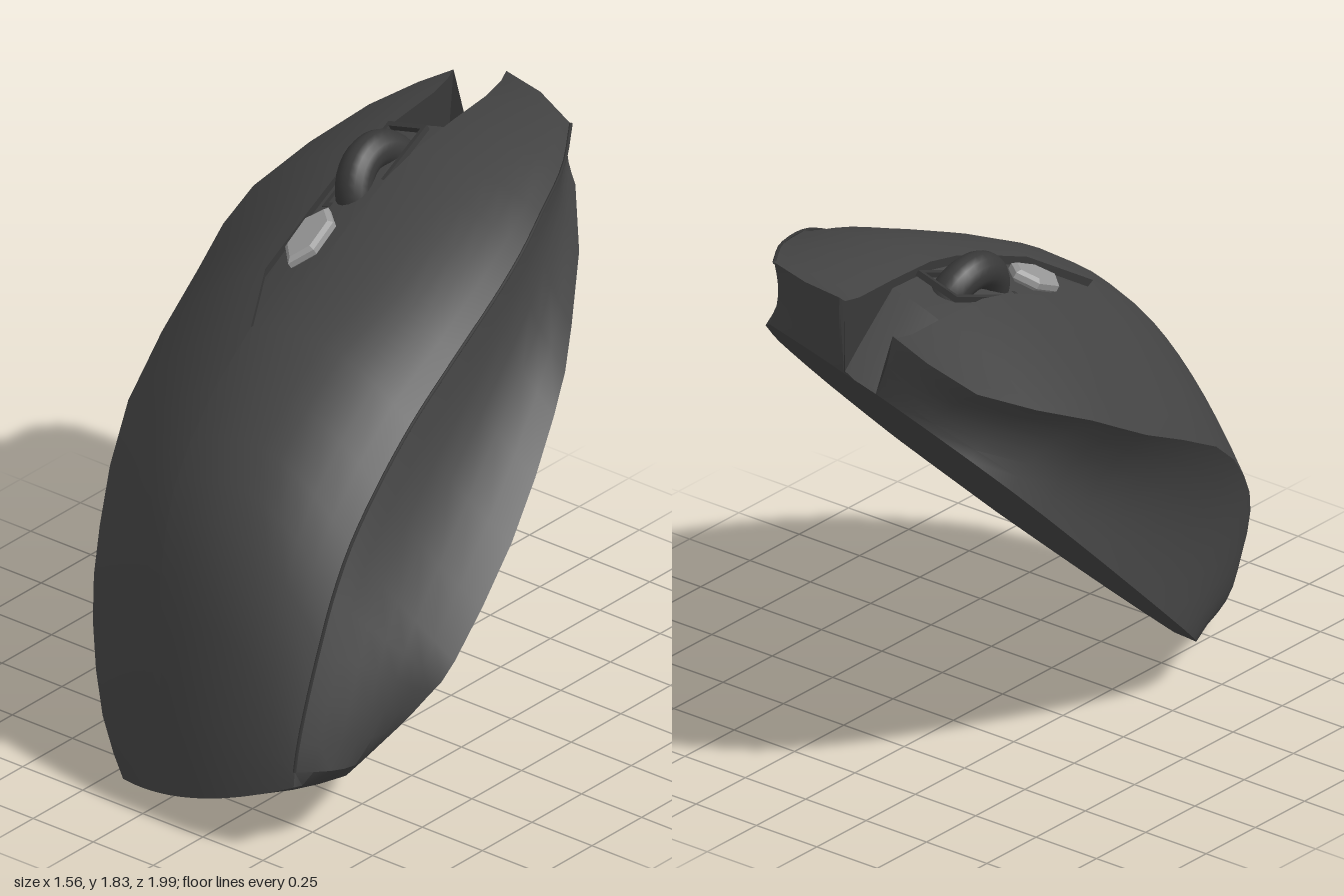
import * as THREE from 'three';
import { toCreasedNormals } from 'three/addons/utils/BufferGeometryUtils.js';

const mat = (color) => new THREE.MeshStandardMaterial({ color, side: THREE.DoubleSide });
const range = (n, f) => Array.from({ length: n + 1 }, (_, i) => f(i / n));

// Tilted plane that the flat underside lies in
const onBase = (x, z) => new THREE.Vector3(x, 0.687 + 0.277 * x - 0.926 * z, z);

// Cross-sections from the palm end to the button end:
// z, left x y, right x y, crown height, base left x z, base right x z
const keys = [
  [0.93, -0.14, 0.05, 0.57, 0.26, -0.03, -0.14, 0.7, 0.59, 0.69],
  [0.9, -0.25, 0.23, 0.565, 0.4, 0.37, -0.36, 0.51, 0.69, 0.56],
  [0.78, -0.39, 0.48, 0.555, 0.7, 0.41, -0.46, 0.42, 0.75, 0.46],
  [0.6, -0.51, 0.71, 0.535, 0.99, 0.36, -0.545, 0.25, 0.778, 0.37],
  [0.275, -0.66, 0.98, 0.52, 1.29, 0.31, -0.62, -0.09, 0.75, 0.05],
  [-0.2, -0.76, 1.23, 0.485, 1.56, 0.26, -0.67, -0.45, 0.645, -0.29],
  [-0.5, -0.78, 1.4, 0.42, 1.71, 0.19, -0.65, -0.75, 0.52, -0.53],
  [-0.89, -0.62, 1.59, 0.22, 1.805, 0.075, -0.46, -0.94, 0.23, -0.9],
  [-1, -0.36, 1.76, -0.14, 1.83, 0, -0.29, -1, -0.13, -0.965],
];
const last = 2 * (keys.length - 1);
const tip = 8; // section where the wheel channel starts

// Every second section is a smooth midpoint of its neighbours
const key = (k) => keys[THREE.MathUtils.clamp(k, 0, keys.length - 1)];
const rows = range(last, (s) => Math.round(s * last)).map((i) => {
  const k = Math.floor(i / 2);
  const [z, lx, ly, rx, ry, h, blx, blz, brx, brz] = i % 2
    ? key(k).map((v, n) => (9 * (v + key(k + 1)[n]) - key(k - 1)[n] - key(k + 2)[n]) / 16)
    : key(k);
  const pinch = -0.15 + 0.25 * ((tip - i) / tip) ** 2;
  const t = (x) => (x - lx) / (rx - lx);
  return {
    L: new THREE.Vector3(lx, ly, z), R: new THREE.Vector3(rx, ry, z),
    bL: onBase(blx, blz), bR: onBase(brx, brz),
    h, bulge: 0.06 * Math.max(0, 1 - i * i / 4),
    tA: t(i > tip ? -0.29 + 0.07 * z : pinch),
    tB: t(i > tip ? -0.075 + 0.065 * z : pinch),
  };
});

// Point on the domed top of one cross-section
function top(row, t) {
  const p = row.L.clone().lerp(row.R, t), k = 4 * t * (1 - t);
  p.y += row.h * k;
  p.z += row.bulge * k;
  return p;
}

// Surface through a grid of points, skipping collapsed triangles
function grid(pts) {
  const out = [], tri = new THREE.Triangle();
  const add = (a, b, c) => {
    tri.set(a, b, c);
    if (tri.getArea() > 1e-8) out.push(a, b, c);
  };
  for (let i = 0; i < pts.length - 1; i++) {
    for (let j = 0; j < pts[i].length - 1; j++) {
      const a = pts[i][j], b = pts[i][j + 1], c = pts[i + 1][j], d = pts[i + 1][j + 1];
      add(a, b, c);
      add(b, d, c);
    }
  }
  return toCreasedNormals(new THREE.BufferGeometry().setFromPoints(out), 0.6);
}

export function createModel() {
  const group = new THREE.Group();
  const body = mat(0x444444), dark = mat(0x383838), silver = mat(0x999999);
  const add = (name, geometry, material) => {
    const mesh = new THREE.Mesh(geometry, material);
    mesh.name = name;
    group.add(mesh);
    return mesh;
  };

  // Top shell, either side of the wheel channel
  add('topShellRight', grid(rows.map((r) => range(7, (s) => top(r, s * r.tA)))), body);
  add('topShellLeft', grid(rows.map((r) => range(9, (s) => top(r, r.tB + s * (1 - r.tB))))), body);

  // Side wall from the shell edge to the base, full at the heel and scooped in at the grips
  const scoop = (i) => 0.06 * Math.sin(Math.PI * (1.5 * i / last - 0.45));
  const back = rows[0];
  const rim = [
    ...rows.map((r, i) => [r.L, r.bL, scoop(i)]).slice(1).reverse(),
    ...range(8, (t) => {
      const b = back.bL.clone().lerp(back.bR, t);
      return [top(back, t), onBase(b.x, b.z + 0.24 * t * (1 - t)), 0];
    }),
    ...rows.map((r, i) => [r.R, r.bR, -scoop(i)]).slice(1),
  ];
  add('sideWall', grid(rim.map(([p, q, inward]) => range(6, (s) => {
    const w = p.clone().lerp(q, s);
    w.x += inward * Math.sin(Math.PI * s);
    return w;
  }))), body);

  // Flat underside
  const centre = onBase(0.05, -0.1);
  add('base', grid([...rim, rim[0]].map(([, q]) => [q, centre])), body);

  // Recessed wheel channel, dropping to the base at the front notch
  const channel = rows.slice(tip);
  const floor = channel.map((r, i) => range(3, (s) => {
    if (i === channel.length - 1) return r.bL.clone().lerp(r.bR, s);
    const p = top(r, r.tA + s * (r.tB - r.tA));
    p.y -= 0.03 + Math.max(0, -0.75 - p.z);
    return p;
  }));
  add('channelFloor', grid(floor), body);
  add('channelWallRight', grid(floor.map((f, i) => [top(channel[i], channel[i].tA), f[0]])), dark);
  add('channelWallLeft', grid(floor.map((f, i) => [f[3], top(channel[i], channel[i].tB)])), dark);

  // Seam under the shell edge
  const seam = new THREE.CatmullRomCurve3(rows.slice(1, last - 1).map((r) => r.R));
  add('shellSeam', new THREE.TubeGeometry(seam, 40, 0.006, 5), dark);

  // Turns a part so its z runs along the channel and its y points out of the top
  const orient = (mesh, [px, py, pz], [nx, ny, nz]) => {
    const y = new THREE.Vector3(nx, ny, nz).normalize();
    const z = new THREE.Vector3(0.08, -(0.08 * nx + nz) / ny, 1).normalize();
    const x = new THREE.Vector3().crossVectors(y, z);
    mesh.quaternion.setFromRotationMatrix(new THREE.Matrix4().makeBasis(x, y, z));
    mesh.position.set(px, py, pz);
  };

  // Scroll wheel in its slot
  const wheelNormal = [-0.28, 1, 0.42];
  const wheel = new THREE.TorusGeometry(0.125, 0.062, 16, 32).rotateY(Math.PI / 2);
  orient(add('scrollWheel', wheel, dark), [-0.2, 1.62, -0.44], wheelNormal);
  const rect = (w, d) => [[-w, -d], [w, -d], [w, d], [-w, d]].map(([x, y]) => new THREE.Vector2(x, y));
  const frame = new THREE.Shape(rect(0.085, 0.2));
  frame.holes.push(new THREE.Path(rect(0.07, 0.18)));
  const slot = new THREE.ExtrudeGeometry(frame, { depth: 0.02, bevelEnabled: false }).rotateX(-Math.PI / 2);
  orient(add('wheelSlot', slot, dark), [-0.215, 1.675, -0.44], wheelNormal);

  // Hexagonal button behind the wheel
  const hex = new THREE.Shape([[0, -0.105], [0.05, -0.05], [0.05, 0.06], [0, 0.105], [-0.05, 0.06], [-0.05, -0.05]]
    .map(([x, y]) => new THREE.Vector2(x, y)));
  const button = new THREE.ExtrudeGeometry(hex, {
    depth: 0.02, bevelThickness: 0.012, bevelSize: 0.014, bevelSegments: 1,
  }).rotateX(-Math.PI / 2);
  orient(add('modeButton', button, silver), [-0.2, 1.57, -0.09], [-0.3, 1, 0.5]);

  return group;
}
